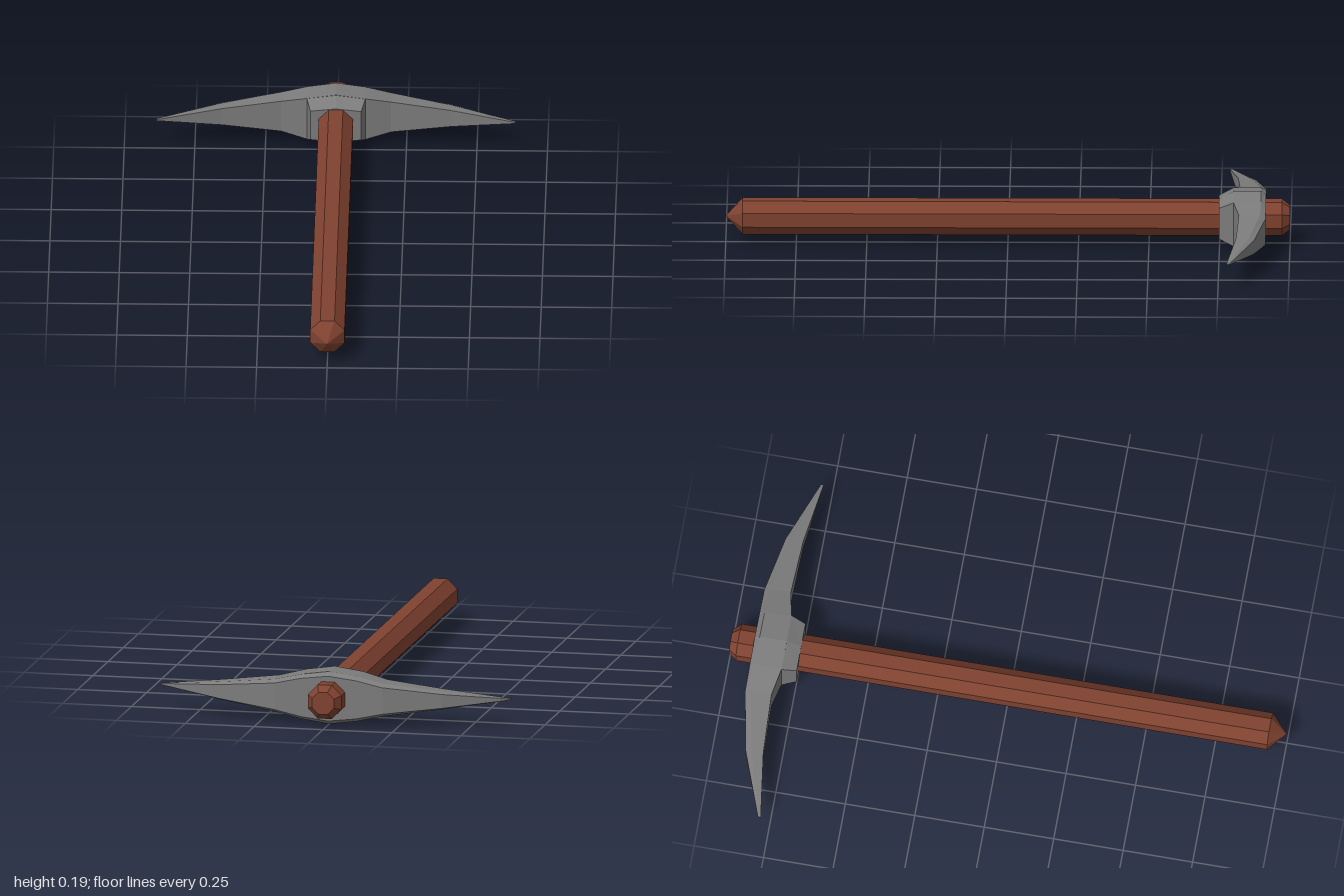
import * as THREE from 'three';

const AXIS_Y = 0.096; // height of the handle's centre line

// Skin a list of rings (counter-clockwise seen from the far end) with flat end caps
function loft(rings) {
  const pos = [];
  const tri = (a, b, c) => pos.push(...a, ...b, ...c);
  const n = rings[0].length;
  for (let k = 0; k < rings.length - 1; k++) {
    for (let i = 0; i < n; i++) {
      const j = (i + 1) % n;
      const [a, b, c, d] = [rings[k][i], rings[k][j], rings[k + 1][j], rings[k + 1][i]];
      tri(a, b, c);
      tri(a, c, d);
    }
  }
  const first = rings[0], last = rings[rings.length - 1];
  for (let i = 1; i < n - 1; i++) {
    tri(first[0], first[i + 1], first[i]);
    tri(last[0], last[i], last[i + 1]);
  }
  const geo = new THREE.BufferGeometry();
  geo.setAttribute('position', new THREE.Float32BufferAttribute(pos, 3));
  geo.computeVertexNormals(); // unshared corners give flat facets
  return geo;
}

export function createModel() {
  const wood = new THREE.MeshStandardMaterial({ color: 0x804230 });
  wood.name = 'reddish brown wood';
  const metal = new THREE.MeshStandardMaterial({ color: 0x7c7c7c });
  metal.name = 'grey metal';

  const group = new THREE.Group();
  group.name = 'pickaxe';
  const add = (name, rings, material) => {
    const mesh = new THREE.Mesh(loft(rings), material);
    mesh.name = name;
    mesh.position.y = AXIS_Y;
    group.add(mesh);
  };

  // Octagonal handle: chamfered at the head end, pointed at the grip end
  const octagon = (z, r) => Array.from({ length: 8 }, (_, i) => {
    const a = (i + 0.5) * Math.PI / 4;
    return [r * Math.cos(a), r * Math.sin(a), z];
  });
  add('handle', [octagon(-1, 0.043), octagon(-0.972, 0.066),
    octagon(0.94, 0.066), octagon(1, 0.0005)], wood);

  // Curved double-pointed head: x, front z, ridge z, back z, half height, back half height
  const half = [
    [0, -0.8, -0.897, -0.915, 0.095, 0.081],
    [0.1, -0.8, -0.897, -0.915, 0.081, 0.069],
    [0.195, -0.82, -0.895, -0.915, 0.059, 0.048],
    [0.405, -0.812, -0.857, -0.876, 0.032, 0.025],
    [0.637, -0.78, -0.786, -0.79, 0.002, 0.0015],
  ];
  const stations = [
    ...half.slice(1).reverse().map(([x, ...rest]) => [-x, ...rest]),
    ...half,
  ];
  add('pickHead', stations.map(([x, zf, zr, zb, h, hb]) => [
    [x, hb, zb], [x, h, zr], [x, h, zf],
    [x, -h, zf], [x, -h, zr], [x, -hb, zb],
  ]), metal);

  // Tapered six-sided collar in front of the head
  const hexagon = (z, w, side, peak) => [
    [w, -side, z], [w, side, z], [0, peak, z],
    [-w, side, z], [-w, -side, z], [0, -peak, z],
  ];
  add('collar', [hexagon(-0.802, 0.104, 0.081, 0.095),
    hexagon(-0.748, 0.09, 0.056, 0.066)], metal);

  return group;
}
